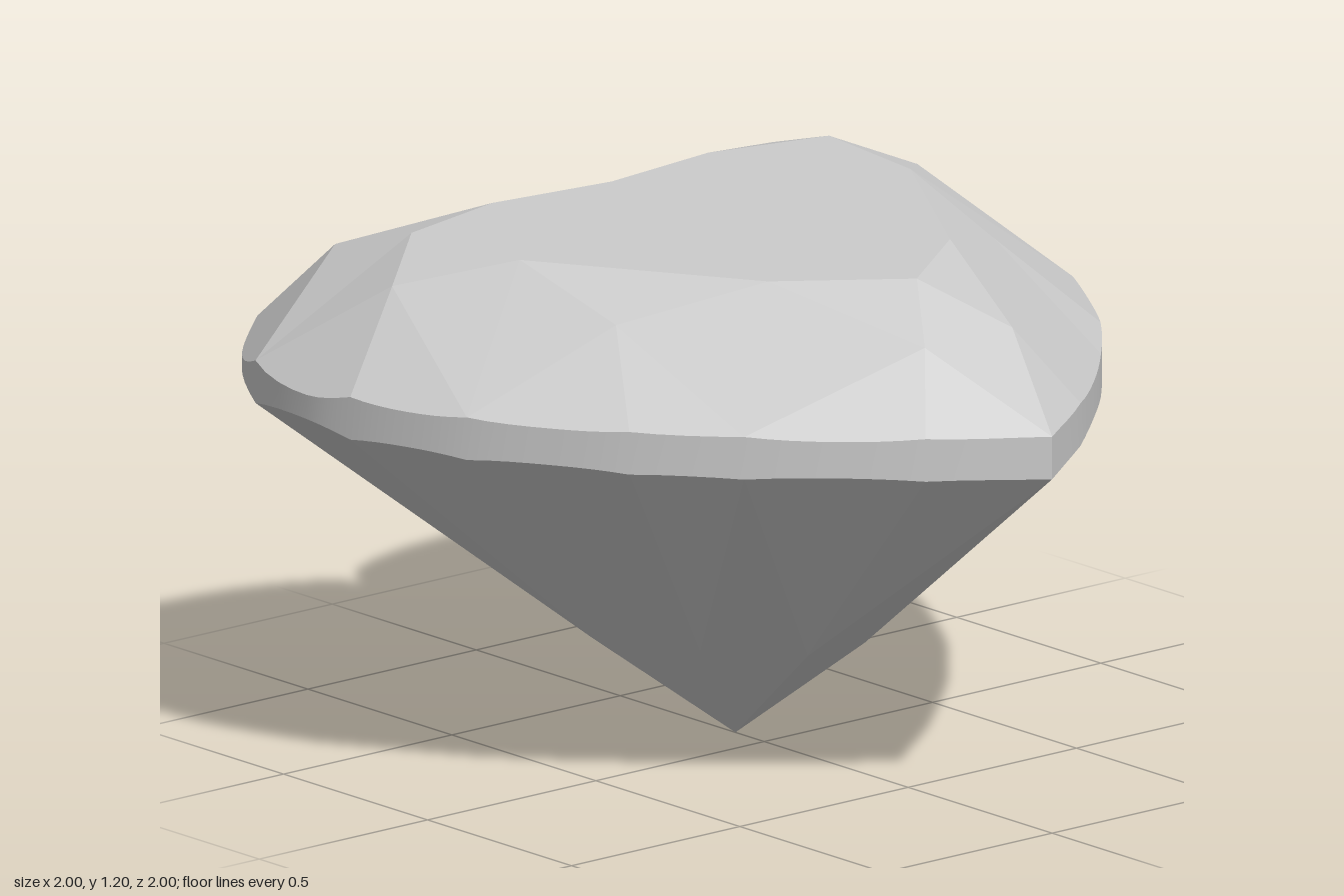
import * as THREE from 'three';

const v = (x, y, z) => new THREE.Vector3(x, y, z);
const mirror = p => v(-p.x, p.y, p.z);
const STEP = 4; // curve samples between outline points

// Half outline of the heart (x, z), from the notch around the lobe to the tip
const OUTLINE = [
  [0, -0.7], [0.04, -0.82], [0.09, -0.885], [0.17, -0.945], [0.27, -0.985], [0.44, -1],
  [0.58, -0.985], [0.71, -0.93], [0.85, -0.82], [0.955, -0.65], [1, -0.42], [0.99, -0.28],
  [0.955, -0.13], [0.9, 0.02], [0.8, 0.2], [0.7, 0.35], [0.53, 0.55], [0.39, 0.69], [0.23, 0.83], [0, 1],
];
const MAIN = [5, 9, 13, 16, 19]; // outline points where the main facets end
const HALF = [7, 11, 15, 18];    // outline points between them

// Crown and pavilion corners of one half, ordered from back to front
const TABLE = [v(0.32, 1.2, -0.57), v(0.62, 1.2, -0.5), v(0.58, 1.2, -0.17), v(0.27, 1.2, 0.33), v(0, 1.2, 0.53)];
const TABLE_BACK = v(0, 1.2, -0.53);
const CROWN = [v(0.65, 1.13, -0.73), v(0.78, 1.13, -0.38), v(0.56, 1.11, 0.14), v(0.13, 1.1, 0.71)];
const PAVILION = [v(0.26, 0.28, -0.41), v(0.36, 0.27, -0.17), v(0.25, 0.27, 0.07), v(0.085, 0.27, 0.25)];
const CULET = v(0, 0, -0.1);

// Sets the height of p so that it lies in the plane a, b, c
function dropOnPlane(p, a, b, c) {
  const n = b.clone().sub(a).cross(c.clone().sub(a));
  p.y = a.y - (n.x * (p.x - a.x) + n.z * (p.z - a.z)) / n.y;
}

// Outline samples at one edge of the girdle, following the facet planes (scalloped)
function girdleEdge(y, inner, notchPlane) {
  const curve = new THREE.CatmullRomCurve3(OUTLINE.map(([x, z]) => v(x, y, z)));
  const pts = curve.getPoints((OUTLINE.length - 1) * STEP);
  const fit = (from, to, a, b, c) => {
    for (let i = from; i <= to; i++) dropOnPlane(pts[i], a, b, c);
  };
  inner.forEach((m, k) => {
    const [g0, h, g1] = [MAIN[k], HALF[k], MAIN[k + 1]].map(i => i * STEP);
    fit(g0 + 1, h - 1, m, pts[g0].clone(), pts[h].clone());
    fit(h + 1, g1 - 1, m, pts[h].clone(), pts[g1].clone());
  });
  fit(0, MAIN[0] * STEP - 1, ...notchPlane(pts[MAIN[0] * STEP].clone()));
  return pts;
}

// Flat facets, mirrored in x; dir is +1 for facing up and -1 for facing down
function facetCollector(dir) {
  const pos = [];
  const put = (a, b, c) => {
    const ny = b.clone().sub(a).cross(c.clone().sub(a)).y;
    for (const p of ny * dir > 0 ? [a, b, c] : [a, c, b]) pos.push(p.x, p.y, p.z);
  };
  const tri = (a, b, c) => {
    put(a, b, c);
    put(mirror(a), mirror(b), mirror(c));
  };
  const fan = (apex, pts) => {
    for (let i = 0; i + 1 < pts.length; i++) tri(apex, pts[i], pts[i + 1]);
  };
  return { pos, tri, fan };
}

function addMesh(group, name, pos, index, flatShading) {
  const geo = new THREE.BufferGeometry();
  geo.setAttribute('position', new THREE.Float32BufferAttribute(pos, 3));
  if (index) geo.setIndex(index);
  geo.computeVertexNormals();
  const mesh = new THREE.Mesh(geo, new THREE.MeshStandardMaterial({ color: 0xcccccc, flatShading }));
  mesh.name = name;
  group.add(mesh);
}

export function createModel() {
  const group = new THREE.Group();
  group.name = 'heartCutGem';
  const top = girdleEdge(0.93, CROWN, g => [TABLE_BACK, TABLE[0], g]);
  const bottom = girdleEdge(0.83, PAVILION, g => [CULET, g, mirror(g)]);
  const span = (pts, a, b) => pts.slice(a * STEP, b * STEP + 1);

  // Table
  const table = facetCollector(1);
  table.fan(v(0, 1.2, 0), [TABLE_BACK, ...TABLE]);
  addMesh(group, 'table', table.pos, null, true);

  // Crown: star, kite and half facets, plus the back facet down to the notch
  const crown = facetCollector(1);
  CROWN.forEach((m, k) => {
    crown.tri(m, TABLE[k], TABLE[k + 1]);
    crown.tri(m, TABLE[k], top[MAIN[k] * STEP]);
    crown.tri(m, TABLE[k + 1], top[MAIN[k + 1] * STEP]);
    crown.fan(m, span(top, MAIN[k], MAIN[k + 1]));
  });
  crown.fan(TABLE[0], [TABLE_BACK, ...span(top, 0, MAIN[0])]);
  addMesh(group, 'crown', crown.pos, null, true);

  // Pavilion: kites meeting at the culet and long half facets
  const pavilion = facetCollector(-1);
  PAVILION.forEach((p, k) => {
    pavilion.tri(CULET, p, bottom[MAIN[k] * STEP]);
    pavilion.tri(CULET, p, bottom[MAIN[k + 1] * STEP]);
    pavilion.fan(p, span(bottom, MAIN[k], MAIN[k + 1]));
  });
  pavilion.fan(CULET, span(bottom, 0, MAIN[0]));
  addMesh(group, 'pavilion', pavilion.pos, null, true);

  // Girdle: smooth wall on each side, sharp at the notch and the tip
  for (const side of [1, -1]) {
    const pos = [], index = [];
    top.forEach((t, i) => {
      const b = bottom[i];
      pos.push(side * t.x, t.y, t.z, side * b.x, b.y, b.z);
      if (i + 1 === top.length) return;
      const j = 2 * i;
      if (side > 0) index.push(j, j + 2, j + 1, j + 1, j + 2, j + 3);
      else index.push(j, j + 1, j + 2, j + 1, j + 3, j + 2);
    });
    addMesh(group, side > 0 ? 'girdleLeft' : 'girdleRight', pos, index, false);
  }
  return group;
}
